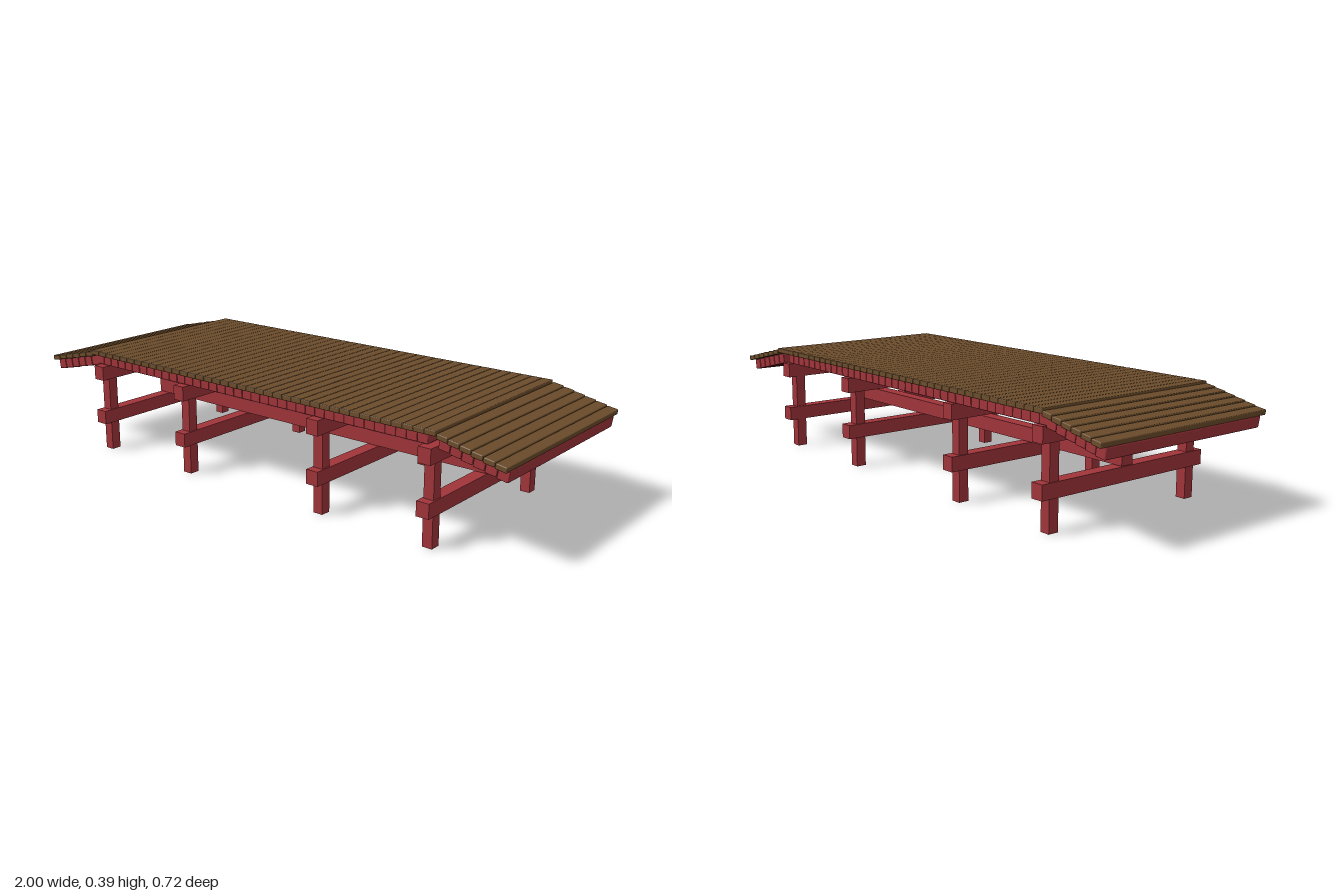
import * as THREE from 'three';
import { RoundedBoxGeometry } from 'three/addons/geometries/RoundedBoxGeometry.js';

export function createModel() {
  const model = new THREE.Group();
  const red = new THREE.MeshStandardMaterial({ color: 0xa0343a });
  const brown = new THREE.MeshStandardMaterial({ color: 0x6b4c2b });

  // Square-edged timber given by its min and max corners
  function timber(name, x0, x1, y0, y1, z0, z1) {
    const mesh = new THREE.Mesh(new THREE.BoxGeometry(x1 - x0, y1 - y0, z1 - z0), red);
    mesh.name = name;
    mesh.position.set((x0 + x1) / 2, (y0 + y1) / 2, (z0 + z1) / 2);
    model.add(mesh);
  }

  // Trestles: two posts and two cross beams each
  for (const x of [-0.73, -0.305, 0.3, 0.725]) {
    for (const z of [0.31, -0.293]) {
      timber('post', x - 0.018, x + 0.018, 0, 0.33, z - 0.0185, z + 0.0185);
    }
    timber('lowerCrossBeam', x - 0.023, x + 0.023, 0.108, 0.158, -0.345, 0.36);
    timber('upperCrossBeam', x - 0.023, x + 0.023, 0.278, 0.33, -0.345, 0.36);
  }

  // Long tie beam down the middle
  timber('tieBeam', -0.753, 0.748, 0.16, 0.21, -0.015, 0.033);

  // Deck boards: a thin brown plank over a thick red one
  const plankGeo = new RoundedBoxGeometry(0.0392, 0.018, 0.72, 1, 0.003);
  const bearerGeo = new RoundedBoxGeometry(0.0385, 0.038, 0.672, 1, 0.003);
  function board(x, y, tilt, withBearer = true) {
    const group = new THREE.Group();
    group.name = 'deckBoard';
    const plank = new THREE.Mesh(plankGeo, brown);
    plank.name = 'plank';
    group.add(plank);
    if (withBearer) {
      const bearer = new THREE.Mesh(bearerGeo, red);
      bearer.name = 'bearer';
      bearer.position.y = -0.028;
      group.add(bearer);
    }
    group.position.set(x, y, 0);
    group.rotation.z = tilt;
    model.add(group);
  }

  // Level stretch; the last plank has no bearer
  const count = 39;
  const pitch = 1.525 / count;
  for (let i = 0; i < count; i++) {
    board(-0.765 + pitch * (i + 0.5), 0.379, 0, i < count - 1);
  }

  // Stepped ramps at both ends
  for (const side of [-1, 1]) {
    for (let i = 0; i < 6; i++) {
      board(side * (0.782 + i * 0.0394), 0.369 - i * 0.009, -side * 0.16);
    }
  }
  return model;
}
